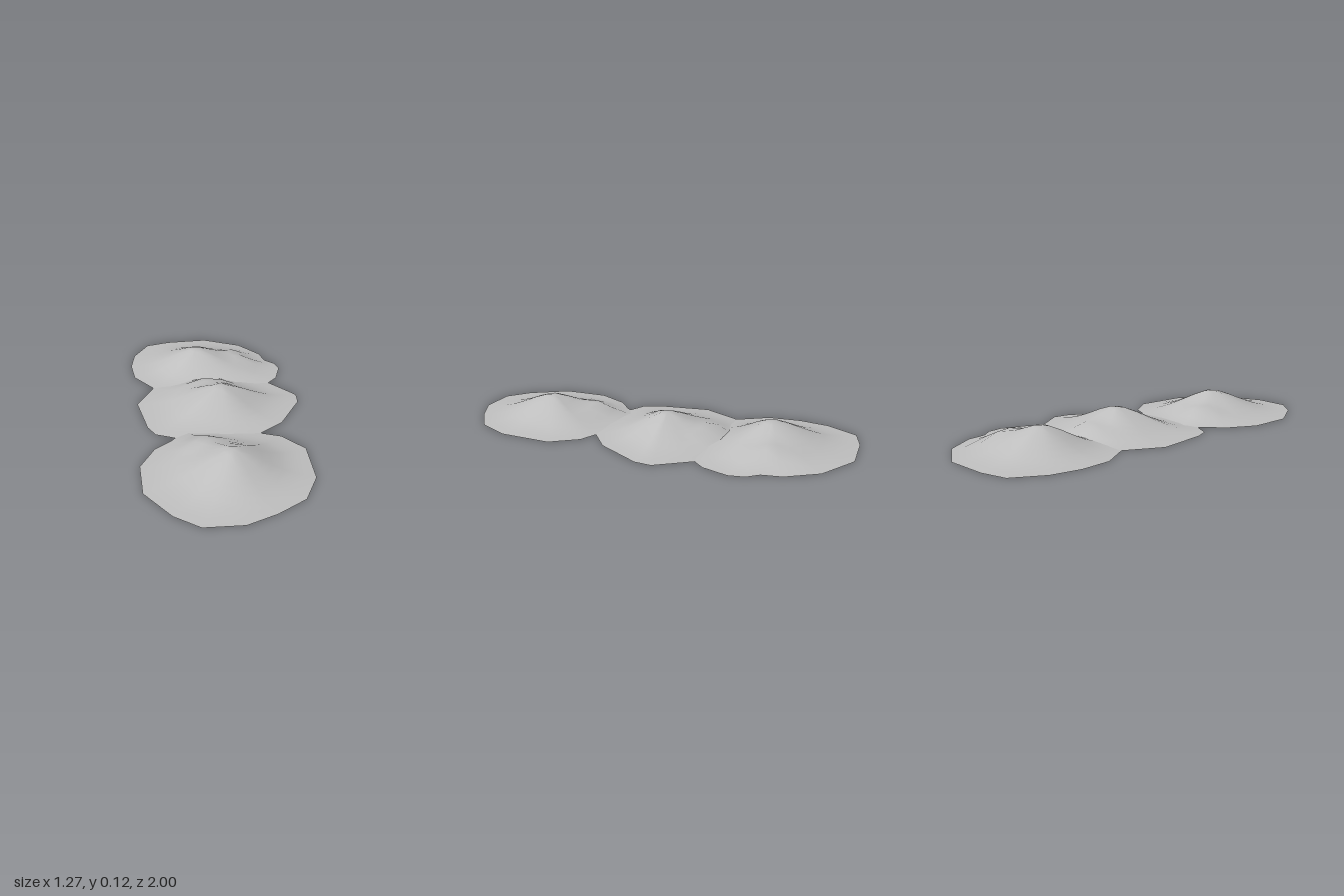
import * as THREE from 'three';

// slope profile: fraction of the way from summit to rim, height
const PROFILE = [[0, 0.118], [0.1, 0.112], [0.25, 0.088], [0.36, 0.067], [0.47, 0.047],
  [0.6, 0.026], [0.73, 0.012], [0.87, 0.004], [1, 0]];

// One open, smooth mound: rings between the summit and an irregular rim,
// with a raised shoulder running out in one direction.
function mound(name, material, { peak, shoulder, lift, rim }) {
  const [px, pz] = peak;
  const n = rim.length;
  const pos = [px, PROFILE[0][1], pz];
  const index = [];
  const facing = Math.atan2(shoulder[1], shoulder[0]);
  PROFILE.slice(1).forEach(([t, h], r) => {
    rim.forEach(([x, z], i) => {
      const a = Math.atan2(z - pz, x - px);
      const off = Math.atan2(Math.sin(a - facing), Math.cos(a - facing));
      const ridge = lift * Math.exp(-((off / 0.5) ** 2)) * Math.exp(-(((t - 0.6) / 0.18) ** 2));
      // gentle gullies that fade out at the summit and rim
      const gully = 0.004 * Math.sin(a * 5 + px * 9) * Math.sin(Math.PI * t);
      const y = t === 1 ? 0 : Math.max(0.001, h + ridge + gully);
      pos.push(px + (x - px) * t, y, pz + (z - pz) * t);
      const j = (i + 1) % n;
      const c = 1 + r * n;
      if (r === 0) index.push(0, c + j, c + i);
      else index.push(c - n + i, c - n + j, c + i, c - n + j, c + j, c + i);
    });
  });
  const geometry = new THREE.BufferGeometry();
  geometry.setAttribute('position', new THREE.Float32BufferAttribute(pos, 3));
  geometry.setIndex(index);
  geometry.computeVertexNormals();
  const mesh = new THREE.Mesh(geometry, material);
  mesh.name = name;
  return mesh;
}

export function createModel() {
  const group = new THREE.Group();
  group.name = 'moundRow';
  const stone = new THREE.MeshStandardMaterial({ color: 0xbfbfbf, side: THREE.DoubleSide });
  stone.name = 'pale grey';

  // rims are listed as x, z
  group.add(mound('frontMound', stone, {
    peak: [-0.2, 0.6], shoulder: [-0.1, -1], lift: 0.035,
    rim: [[-0.64, 0.58], [-0.56, 0.36], [-0.43, 0.24], [-0.32, 0.2], [-0.22, 0.14], [-0.08, 0.19],
      [0.1, 0.33], [0.18, 0.41], [0.22, 0.57], [0.11, 0.82], [-0.03, 0.95], [-0.2, 0.99],
      [-0.36, 1], [-0.53, 0.93], [-0.6, 0.8]],
  }));
  group.add(mound('middleMound', stone, {
    peak: [0.08, -0.03], shoulder: [0.1, -1], lift: 0.035,
    rim: [[-0.37, 0.02], [-0.31, -0.25], [-0.15, -0.4], [-0.03, -0.43], [0.1, -0.44], [0.26, -0.38],
      [0.38, -0.28], [0.46, -0.16], [0.51, 0.04], [0.47, 0.12], [0.26, 0.29], [0.1, 0.34],
      [-0.06, 0.34], [-0.2, 0.27], [-0.3, 0.18], [-0.365, 0.11]],
  }));
  group.add(mound('backMound', stone, {
    peak: [0.2, -0.55], shoulder: [1, 0.2], lift: 0.033,
    rim: [[-0.185, -0.58], [-0.14, -0.74], [-0.06, -0.88], [0.08, -1], [0.22, -0.99], [0.44, -0.92],
      [0.59, -0.74], [0.63, -0.56], [0.61, -0.46], [0.635, -0.39], [0.62, -0.31], [0.53, -0.2],
      [0.46, -0.165], [0.3, -0.14], [0.1, -0.18], [-0.05, -0.28], [-0.15, -0.4]],
  }));
  return group;
}
